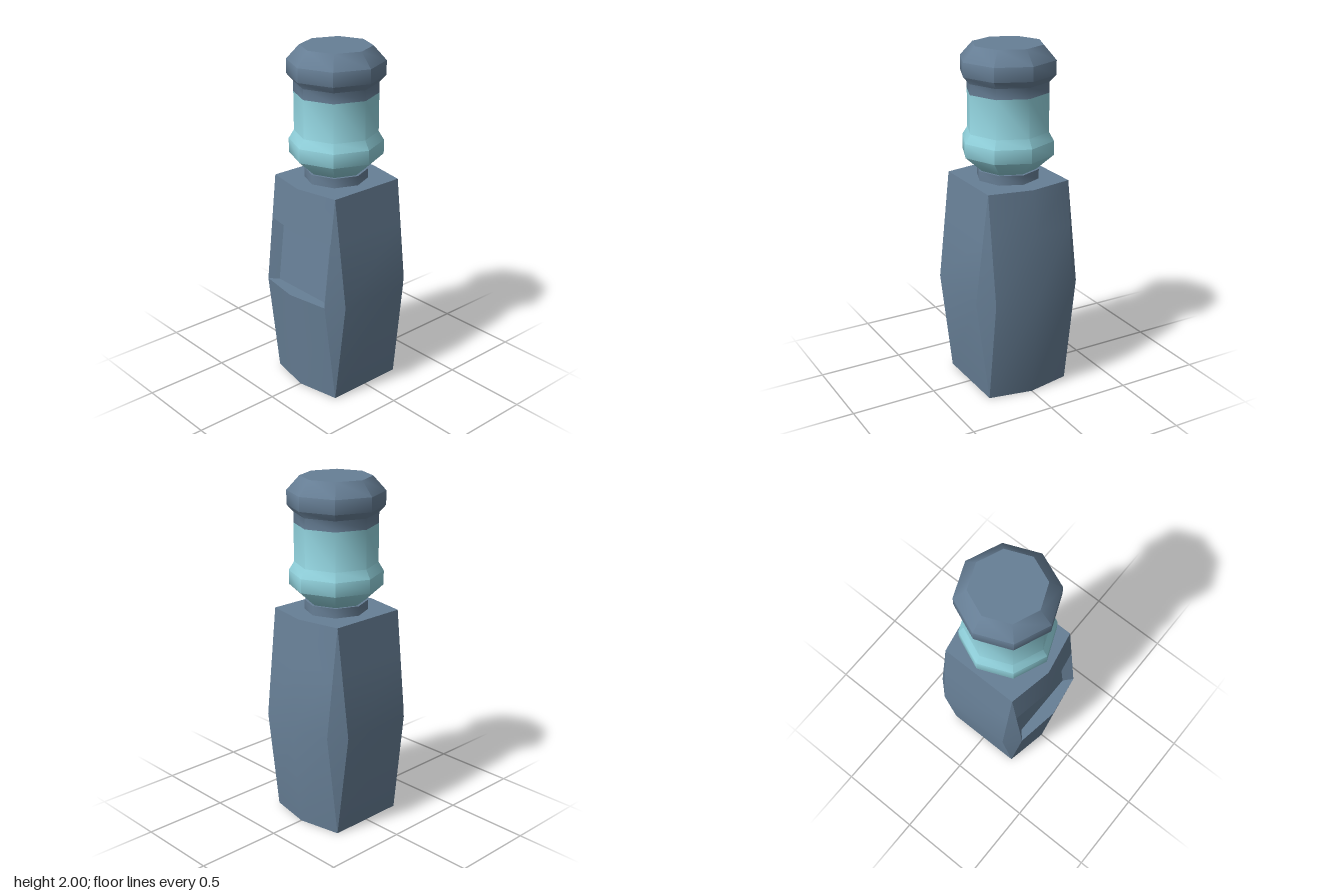
import * as THREE from 'three';
import { toCreasedNormals } from 'three/addons/utils/BufferGeometryUtils.js';

const casing = new THREE.MeshStandardMaterial({ color: 0x677f96 });
casing.name = 'slate blue casing';
const water = new THREE.MeshStandardMaterial({ color: 0x92d3de });
water.name = 'pale aqua bottle';

const MID = 0.615, TOP = 1.245, RECESS_TOP = 0.99;

// Ten-sided cross-section; the corner chamfers close to points at both ends
function section(y) {
  const t = y < MID ? y / MID : (TOP - y) / (TOP - MID);
  const mix = (a, b) => a + (b - a) * t;
  const p = (x, z) => new THREE.Vector3(x, y, z);
  const c = mix(0.285, 0.35);
  const ax = mix(0.255, 0.25), az = mix(0.235, 0.31);
  const bx = mix(0.255, 0.33), bz = mix(0.235, 0.225);
  return [p(0, c), p(ax, az), p(bx, bz), p(bx, -bz), p(ax, -az),
    p(0, -c), p(-ax, -az), p(-bx, -bz), p(-bx, bz), p(-ax, az)];
}

// Collects convex polygons as triangle fans and skips empty ones
function polygonGeometry(polygons) {
  const pos = [];
  for (const poly of polygons) {
    for (let i = 1; i < poly.length - 1; i++) {
      const tri = new THREE.Triangle(poly[0], poly[i], poly[i + 1]);
      if (tri.getArea() < 1e-7) continue;
      for (const v of [tri.a, tri.b, tri.c]) pos.push(v.x, v.y, v.z);
    }
  }
  const g = new THREE.BufferGeometry();
  g.setAttribute('position', new THREE.Float32BufferAttribute(pos, 3));
  return toCreasedNormals(g, 0.6);
}

function strip(low, high, i) {
  const j = (i + 1) % low.length;
  return [low[i], low[j], high[j], high[i]];
}

function bodyPolygons() {
  const rings = [0, MID, RECESS_TOP, TOP].map(section);
  const polys = [];
  for (let r = 0; r < 3; r++) {
    for (let i = 0; i < 10; i++) {
      const recessed = r === 1 && (i === 0 || i === 9);
      if (!recessed) polys.push(strip(rings[r], rings[r + 1], i));
    }
  }
  polys.push(rings[3], [...rings[0]].reverse());
  return polys;
}

// Sunken front panel with its ledge and overhang
function recessPolygons() {
  const low = section(MID), high = section(RECESS_TOP);
  const inner = (ring, side) =>
    new THREE.Vector3(side * 0.2, ring[0].y, ring[1].z - 0.045);
  const edge = (ring) => [ring[9], inner(ring, -1), inner(ring, 1), ring[1]];
  const a = edge(low), b = edge(high);
  return [
    ...[0, 1, 2].map((i) => strip(a, b, i)),
    [low[0], low[1], a[2], a[1], low[9]],
    [high[0], high[9], b[1], b[2], high[1]],
  ];
}

// Eight-sided turned part from radius and height pairs
function turned(name, profile, material, crease) {
  const points = profile.map(([r, y]) => new THREE.Vector2(r, y));
  const geometry = toCreasedNormals(new THREE.LatheGeometry(points, 8), crease);
  const mesh = new THREE.Mesh(geometry, material);
  mesh.name = name;
  return mesh;
}

export function createModel() {
  const group = new THREE.Group();
  group.name = 'waterCooler';

  const body = new THREE.Mesh(polygonGeometry(bodyPolygons()), casing);
  body.name = 'body';
  const recess = new THREE.Mesh(polygonGeometry(recessPolygons()), casing);
  recess.name = 'dispenserRecess';
  group.add(body, recess);

  group.add(turned('neckCollar',
    [[0.18, 1.24], [0.18, 1.3], [0, 1.3]], casing, 0.85));
  group.add(turned('bottle',
    [[0, 1.295], [0.165, 1.3], [0.265, 1.39], [0.265, 1.47], [0.235, 1.52], [0.235, 1.74]],
    water, 0.85));
  group.add(turned('bottleTop',
    [[0.235, 1.74], [0.235, 1.8], [0.272, 1.84], [0.272, 1.92], [0.2, 2], [0, 2]],
    casing, 0.85));
  return group;
}
